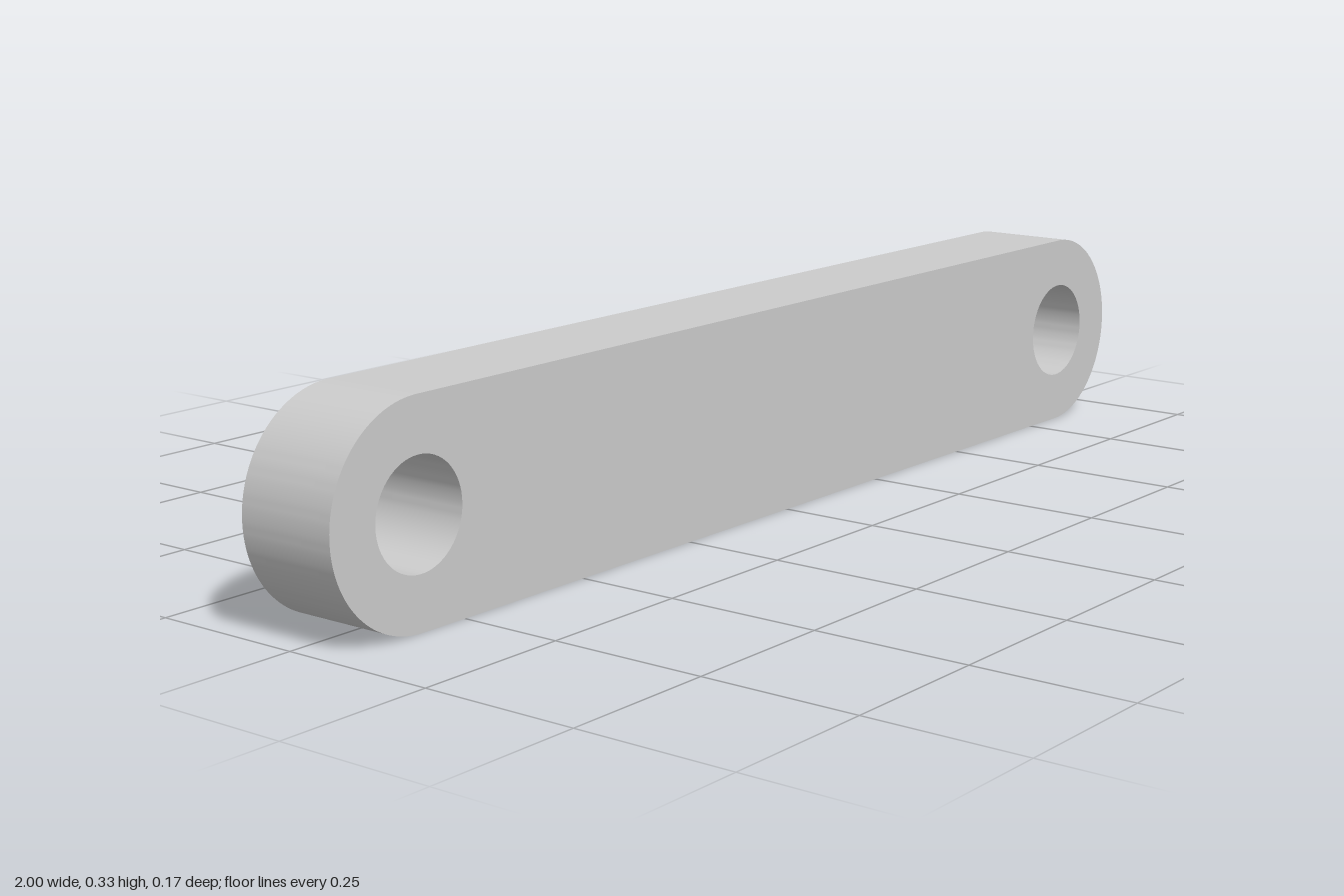
import * as THREE from 'three';
import { toCreasedNormals } from 'three/addons/utils/BufferGeometryUtils.js';

const R = 1 / 6;          // end radius
const CX = 1 - R;         // pin hole centre offset
const HOLE = 1 / 12;      // pin hole radius
const DEPTH = 1 / 6;      // plate thickness

export function createModel() {
  const group = new THREE.Group();
  group.name = 'linkBar';

  // Outline: straight bar with a half-round at each end
  const outline = new THREE.Shape();
  outline.moveTo(-CX, 0);
  outline.lineTo(CX, 0);
  outline.absarc(CX, R, R, -Math.PI / 2, Math.PI / 2, false);
  outline.lineTo(-CX, 2 * R);
  outline.absarc(-CX, R, R, Math.PI / 2, Math.PI * 1.5, false);

  // Pin hole through each end
  for (const side of [-1, 1]) {
    const hole = new THREE.Path();
    hole.absarc(side * CX, R, HOLE, 0, Math.PI * 2, true);
    outline.holes.push(hole);
  }

  // Plate with smooth rounded walls and sharp face edges
  const plate = new THREE.ExtrudeGeometry(outline, { depth: DEPTH, bevelEnabled: false, curveSegments: 32 });
  plate.translate(0, 0, -DEPTH / 2);
  const bar = new THREE.Mesh(
    toCreasedNormals(plate, Math.PI / 6),
    new THREE.MeshStandardMaterial({ color: 0xcccccc })
  );
  bar.name = 'bar';
  group.add(bar);
  return group;
}
